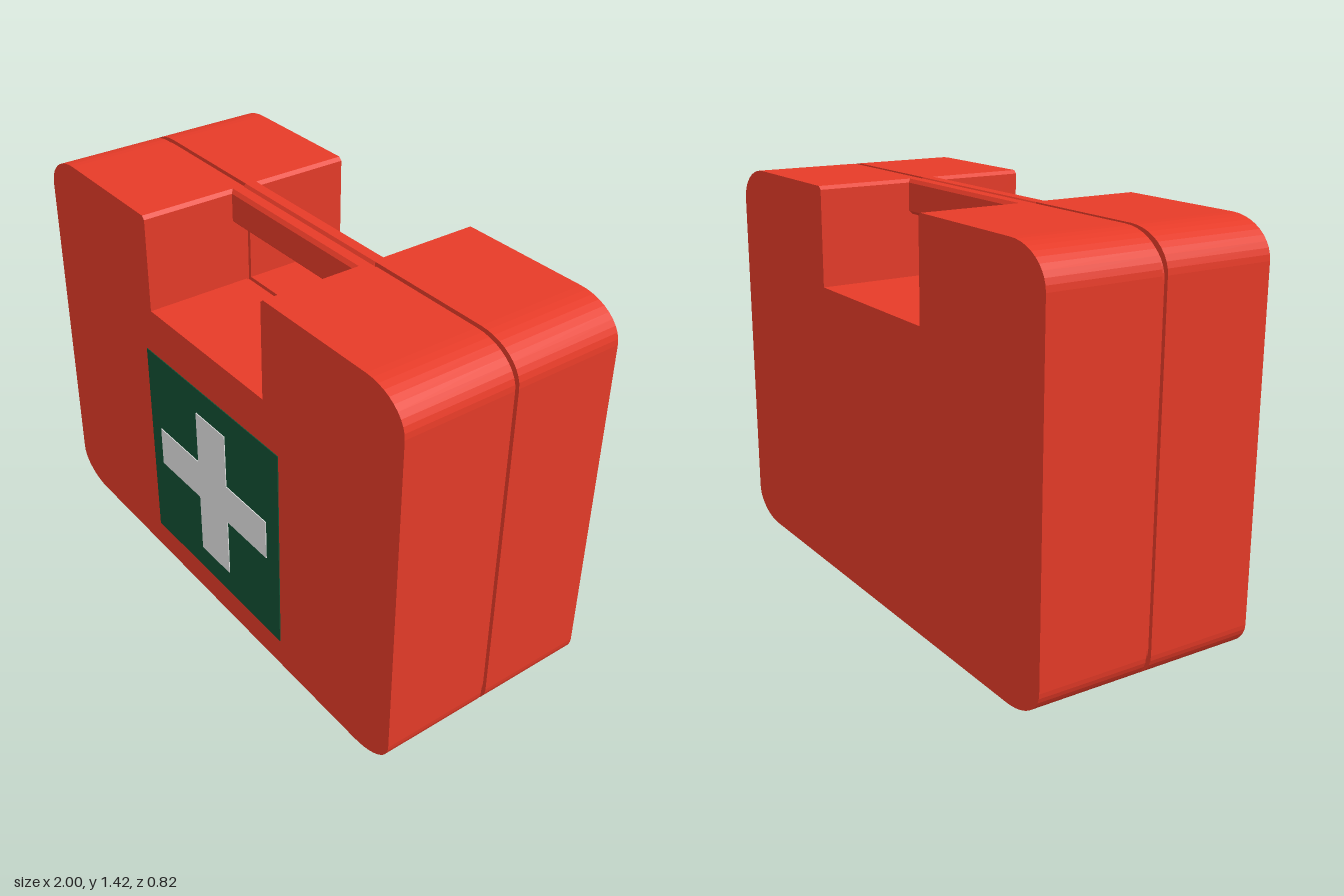
import * as THREE from 'three';

const HEIGHT = 1.425, DEPTH = 0.41, FRONT = 0.405, SEAM = 0.01;

const red = new THREE.MeshStandardMaterial({ color: 0xe63b28 });
red.name = 'case red';
const green = new THREE.MeshStandardMaterial({ color: 0x135034 });
green.name = 'label green';
const white = new THREE.MeshStandardMaterial({ color: 0xe6e6e6 });
white.name = 'cross white';

// Case silhouette with rounded corners and the hand notch, shrunk by inset
function caseOutline(inset = 0) {
  const x = 1 - inset, top = HEIGHT - inset, low = inset;
  const rx = 0.17, ryTop = 0.125, ryLow = 0.11;
  const nx = 0.335 + inset, floor = 1.07 - inset, c = 0.012;
  const s = new THREE.Shape();
  s.moveTo(-x + rx, low);
  s.lineTo(x - rx, low);
  s.absellipse(x - rx, low + ryLow, rx, ryLow, -Math.PI / 2, 0, false);
  s.lineTo(x, top - ryTop);
  s.absellipse(x - rx, top - ryTop, rx, ryTop, 0, Math.PI / 2, false);
  s.lineTo(nx + c, top);
  s.lineTo(nx, top - c);
  s.lineTo(nx, floor);
  s.lineTo(-nx, floor);
  s.lineTo(-nx, top - c);
  s.lineTo(-nx - c, top);
  s.lineTo(-x + rx, top);
  s.absellipse(-x + rx, top - ryTop, rx, ryTop, Math.PI / 2, Math.PI, false);
  s.lineTo(-x, low + ryLow);
  s.absellipse(-x + rx, low + ryLow, rx, ryLow, Math.PI, Math.PI * 1.5, false);
  return s;
}

function polygon(points) {
  return new THREE.Shape(points.map(([x, y]) => new THREE.Vector2(x, y)));
}

// Extrudes a shape between two z positions
function slab(name, shape, z0, z1, material) {
  const geometry = new THREE.ExtrudeGeometry(shape, {
    depth: z1 - z0, bevelEnabled: false, curveSegments: 5,
  });
  geometry.translate(0, 0, z0);
  const mesh = new THREE.Mesh(geometry, material);
  mesh.name = name;
  return mesh;
}

export function createModel() {
  const model = new THREE.Group();
  model.name = 'firstAidCase';

  // Two shells meeting at a narrow recessed seam
  model.add(slab('frontShell', caseOutline(), SEAM, FRONT, red));
  model.add(slab('backShell', caseOutline(), -DEPTH, -SEAM, red));
  model.add(slab('seamCore', caseOutline(0.014), -SEAM, SEAM, red));

  // Handle bar: chamfered section with a seam groove above and below
  const w = 0.06, y0 = 1.3, y1 = HEIGHT, c = 0.012;
  const section = polygon([
    [-w + c, y0], [-SEAM, y0], [0, y0 + c], [SEAM, y0], [w - c, y0], [w, y0 + c],
    [w, y1 - c], [w - c, y1], [SEAM, y1], [0, y1 - c], [-SEAM, y1], [-w + c, y1],
    [-w, y1 - c], [-w, y0 + c],
  ]);
  const handle = slab('handle', section, -0.355, 0.355, red);
  handle.rotation.y = Math.PI / 2;
  model.add(handle);

  // Label plate and cross on the front
  const plate = polygon([[-0.38, 0.11], [0.415, 0.11], [0.415, 0.9], [-0.38, 0.9]]);
  model.add(slab('labelPlate', plate, FRONT, FRONT + 0.003, green));
  const [xa, xb, xc, xd] = [-0.315, -0.065, 0.11, 0.345];
  const [ya, yb, yc, yd] = [0.205, 0.438, 0.592, 0.8];
  const cross = polygon([
    [xb, ya], [xc, ya], [xc, yb], [xd, yb], [xd, yc], [xc, yc],
    [xc, yd], [xb, yd], [xb, yc], [xa, yc], [xa, yb], [xb, yb],
  ]);
  model.add(slab('labelCross', cross, FRONT + 0.003, FRONT + 0.006, white));

  return model;
}
